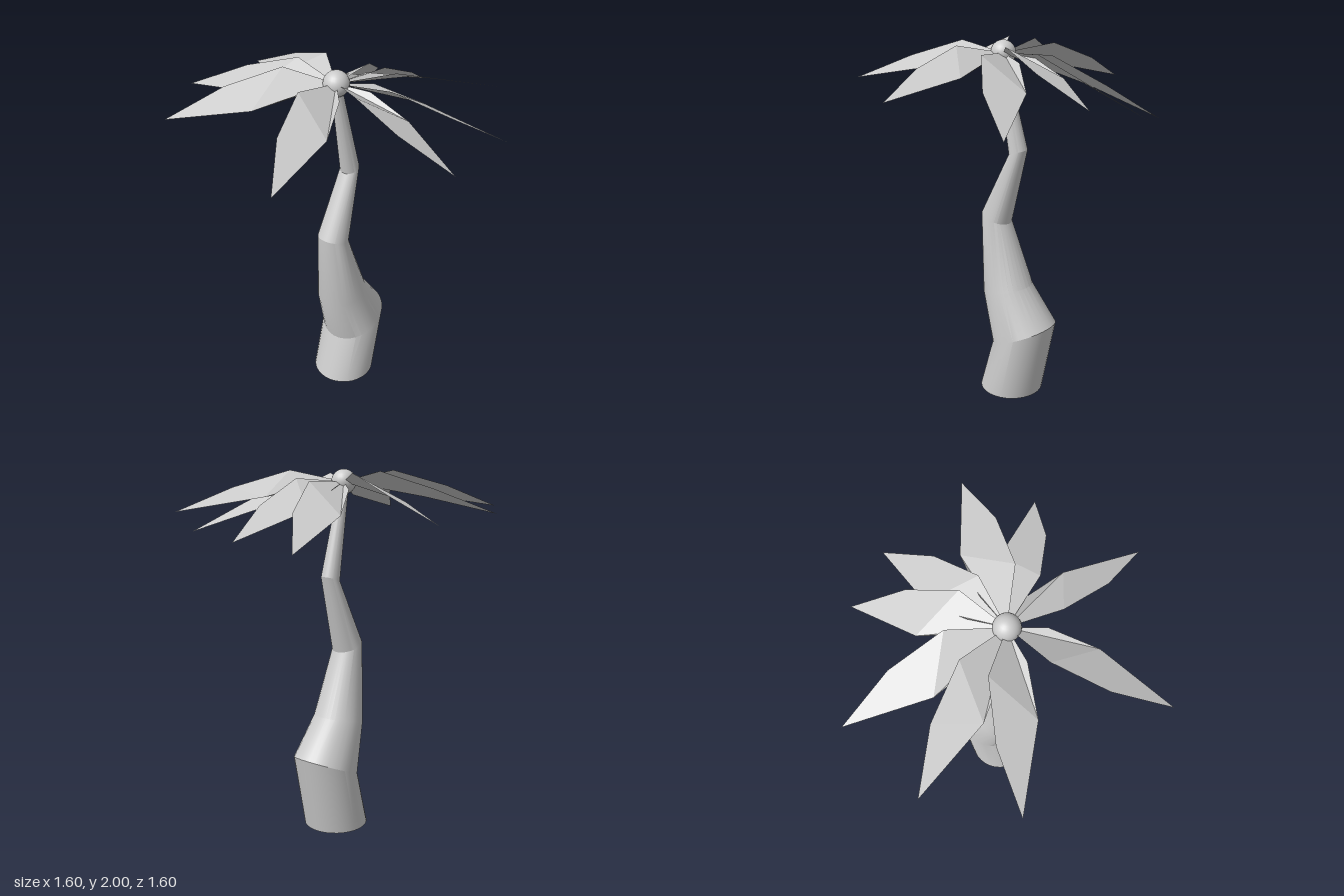
import * as THREE from 'three';
import { toCreasedNormals } from 'three/addons/utils/BufferGeometryUtils.js';

const HUB = new THREE.Vector3(0.012, 1.93, 0.025);

// Trunk rings from the ground up: front edge z, y; back edge z, y; half width in x
const RINGS = [
  [0.145, 0, -0.215, 0, 0.178],
  [0.06, 0.29, -0.3, 0.44, 0.178],
  [0.13, 0.59, -0.15, 0.65, 0.137],
  [0.148, 1.055, -0.02, 1.0, 0.085],
  [-0.025, 1.4, -0.125, 1.43, 0.052],
  [0.06, 1.9, 0.005, 1.915, 0.027],
];

// Leaf tips, one per frond
const TIPS = [
  [0.8, 1.775, 0.165], [0.727, 1.655, -0.446], [0.49, 1.78, -0.734],
  [-0.02, 1.655, -0.8], [-0.328, 1.61, -0.717], [-0.796, 1.735, -0.24],
  [-0.796, 1.775, 0.257], [-0.55, 1.8, 0.648], [0.294, 1.775, 0.798],
];

// Frond outline as (along, sideways, up), in fractions of its length
const OUTLINE = [
  [0, 0, 0], [0.28, 0.12, 0.115], [0.635, 0.107, 0.075],
  [1, 0, 0], [0.505, -0.122, 0], [0.2, -0.09, 0.03],
];
const FACES = [0, 1, 4, 0, 4, 5, 1, 2, 4, 2, 3, 4];

function makeTrunk(material) {
  // A plain cylinder whose rows are moved onto the tilted rings
  const rows = RINGS.length - 1;
  const geo = new THREE.CylinderGeometry(1, 1, 1, 32, rows);
  const pos = geo.attributes.position;
  for (let i = 0; i < pos.count; i++) {
    const [zf, yf, zb, yb, rx] = RINGS[Math.round((pos.getY(i) + 0.5) * rows)];
    const t = (pos.getZ(i) + 1) / 2;
    pos.setXYZ(
      i,
      0.02 + pos.getX(i) * rx,
      THREE.MathUtils.lerp(yb, yf, t),
      THREE.MathUtils.lerp(zb, zf, t),
    );
  }
  const trunk = new THREE.Mesh(toCreasedNormals(geo, 0.3), material);
  trunk.name = 'trunk';
  return trunk;
}

function makeFrond(tip, material) {
  const along = new THREE.Vector3(...tip).sub(HUB);
  const length = along.length();
  along.normalize();
  const side = new THREE.Vector3(-along.z, 0, along.x).normalize();
  const up = side.clone().cross(along);
  const points = OUTLINE.map(([a, s, u]) => HUB.clone()
    .addScaledVector(along, a * length)
    .addScaledVector(side, s * length)
    .addScaledVector(up, u * length));
  // Corners reversed so the fronts look upward
  const geo = new THREE.BufferGeometry().setFromPoints([...FACES].reverse().map((i) => points[i]));
  geo.computeVertexNormals();
  return new THREE.Mesh(geo, material);
}

export function createModel() {
  const model = new THREE.Group();
  model.name = 'palmTree';
  const bark = new THREE.MeshStandardMaterial({ color: 0xcccccc });
  const leaf = new THREE.MeshStandardMaterial({
    color: 0xcccccc, flatShading: true, side: THREE.DoubleSide,
  });

  model.add(makeTrunk(bark));

  // Round crown where the fronds meet
  const crown = new THREE.Mesh(new THREE.SphereGeometry(0.067, 24, 16), bark);
  crown.name = 'crown';
  crown.position.copy(HUB);
  model.add(crown);

  // Folded, banked fronds
  const fronds = new THREE.Group();
  fronds.name = 'fronds';
  TIPS.forEach((tip, i) => {
    const frond = makeFrond(tip, leaf);
    frond.name = `frond${i + 1}`;
    fronds.add(frond);
  });
  model.add(fronds);

  return model;
}
